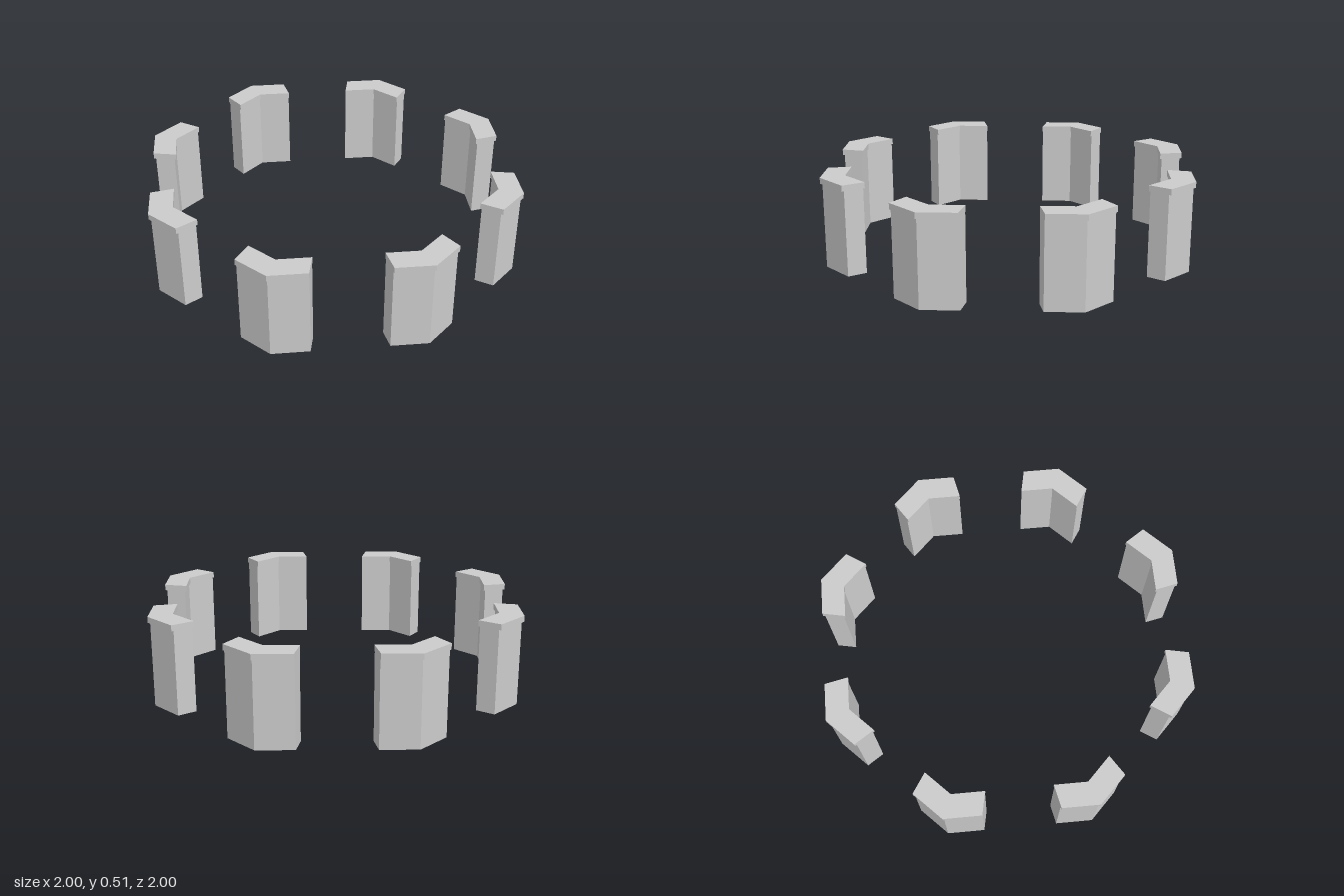
import * as THREE from 'three';

const SEGMENTS = 8;
const STEP = (Math.PI * 2) / SEGMENTS;
const END_TAN = 0.207; // slope of the radial end cuts

// Bent wall outline around one octagon corner, between two apothems
function cornerOutline(inner, outer) {
  const side = (apothem) => {
    const start = new THREE.Vector2(END_TAN * apothem, apothem);
    const corner = new THREE.Vector2(Math.tan(STEP / 2) * apothem, apothem);
    // The far end mirrors the near end across the corner's radial line
    const angle = STEP - Math.atan(END_TAN);
    const end = new THREE.Vector2(Math.sin(angle), Math.cos(angle)).multiplyScalar(start.length());
    return [start, corner, end];
  };
  return new THREE.Shape([...side(outer), ...side(inner).reverse()]);
}

function cornerSlab(inner, outer, bottom, top) {
  const geometry = new THREE.ExtrudeGeometry(cornerOutline(inner, outer), {
    depth: top - bottom,
    bevelEnabled: false,
  });
  geometry.rotateX(-Math.PI / 2);
  geometry.translate(0, bottom, 0);
  return geometry;
}

export function createModel() {
  const model = new THREE.Group();
  model.name = 'wallRing';
  const material = new THREE.MeshStandardMaterial({ color: 0xcccccc, flatShading: true });

  const bodyGeometry = cornerSlab(0.882, 0.988, 0, 0.475);
  const capGeometry = cornerSlab(0.873, 1.0, 0.475, 0.508);

  // Eight capped wall corners arranged in a ring
  for (let i = 0; i < SEGMENTS; i++) {
    const wall = new THREE.Group();
    wall.name = `wallCorner${i + 1}`;
    const body = new THREE.Mesh(bodyGeometry, material);
    body.name = 'wallBody';
    const cap = new THREE.Mesh(capGeometry, material);
    cap.name = 'wallCap';
    wall.add(body, cap);
    wall.rotation.y = i * STEP;
    model.add(wall);
  }
  return model;
}
